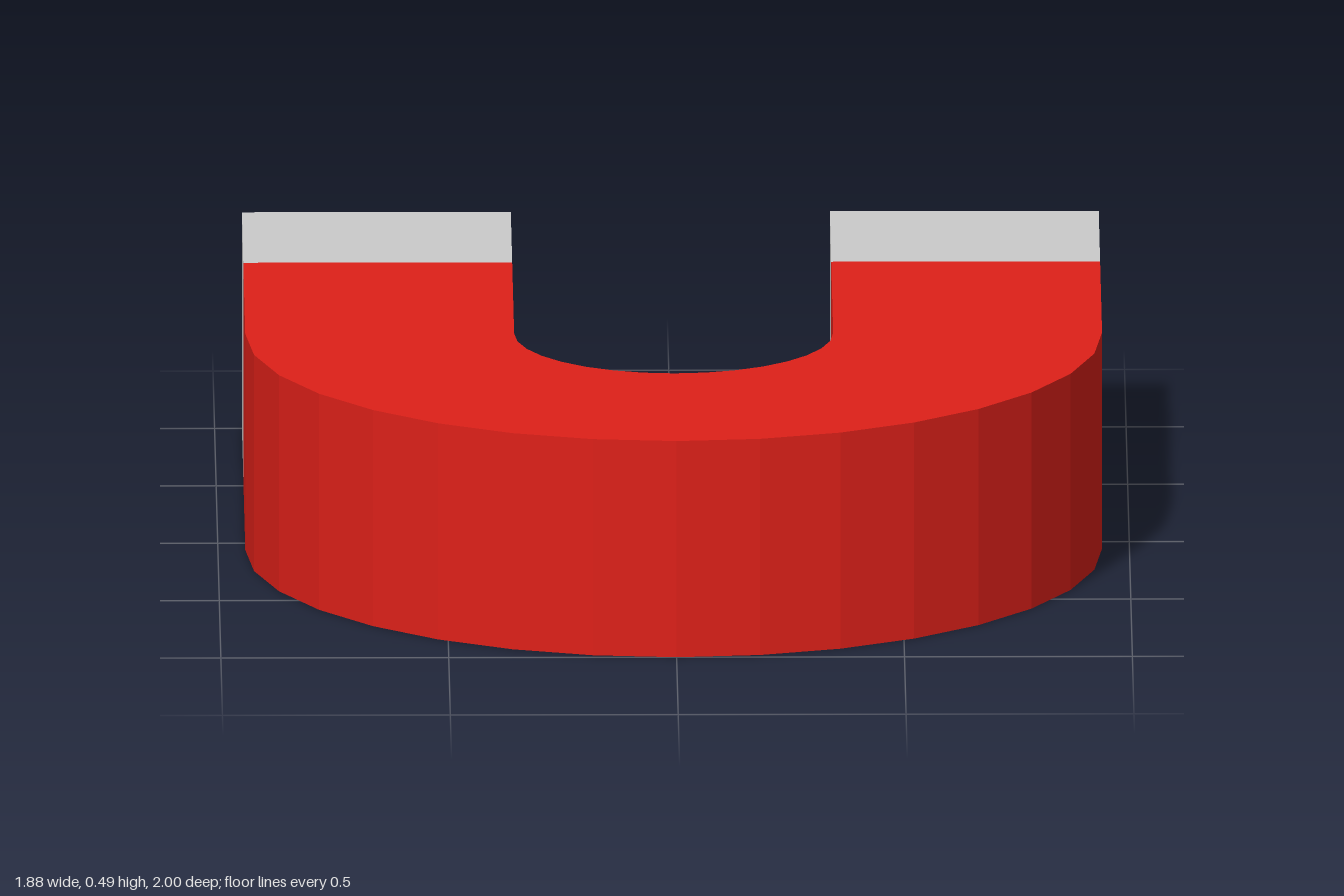
import * as THREE from 'three';

const OUTER = 0.94, INNER = 0.35, HEIGHT = 0.49;
const BEND_Z = 0.06, JOINT_Z = -0.56, BACK_Z = -1;

export function createModel() {
  const group = new THREE.Group();
  group.name = 'horseshoeMagnet';
  const red = new THREE.MeshStandardMaterial({ color: 0xde2019, flatShading: true });
  const grey = new THREE.MeshStandardMaterial({ color: 0xcccccc, flatShading: true });

  // U-shaped body: outline drawn with shape y = -z, then laid flat
  const outline = new THREE.Shape();
  outline.moveTo(-OUTER, -JOINT_Z);
  outline.lineTo(-OUTER, -BEND_Z);
  outline.absarc(0, -BEND_Z, OUTER, Math.PI, 2 * Math.PI, false);
  outline.lineTo(OUTER, -JOINT_Z);
  outline.lineTo(INNER, -JOINT_Z);
  outline.lineTo(INNER, -BEND_Z);
  outline.absarc(0, -BEND_Z, INNER, 2 * Math.PI, Math.PI, true);
  outline.lineTo(-INNER, -JOINT_Z);
  outline.closePath();
  // Arcs get twice this count: 16 facets around each half circle
  const bodyGeometry = new THREE.ExtrudeGeometry(outline, {
    depth: HEIGHT, bevelEnabled: false, curveSegments: 8,
  });
  bodyGeometry.rotateX(-Math.PI / 2);
  const body = new THREE.Mesh(bodyGeometry, red);
  body.name = 'body';
  group.add(body);

  // Bare metal pole tips at the ends of both arms
  const tipGeometry = new THREE.BoxGeometry(OUTER - INNER, HEIGHT, JOINT_Z - BACK_Z);
  for (const [name, side] of [['leftPoleTip', 1], ['rightPoleTip', -1]]) {
    const tip = new THREE.Mesh(tipGeometry, grey);
    tip.name = name;
    tip.position.set(side * (OUTER + INNER) / 2, HEIGHT / 2, (JOINT_Z + BACK_Z) / 2);
    group.add(tip);
  }
  return group;
}
